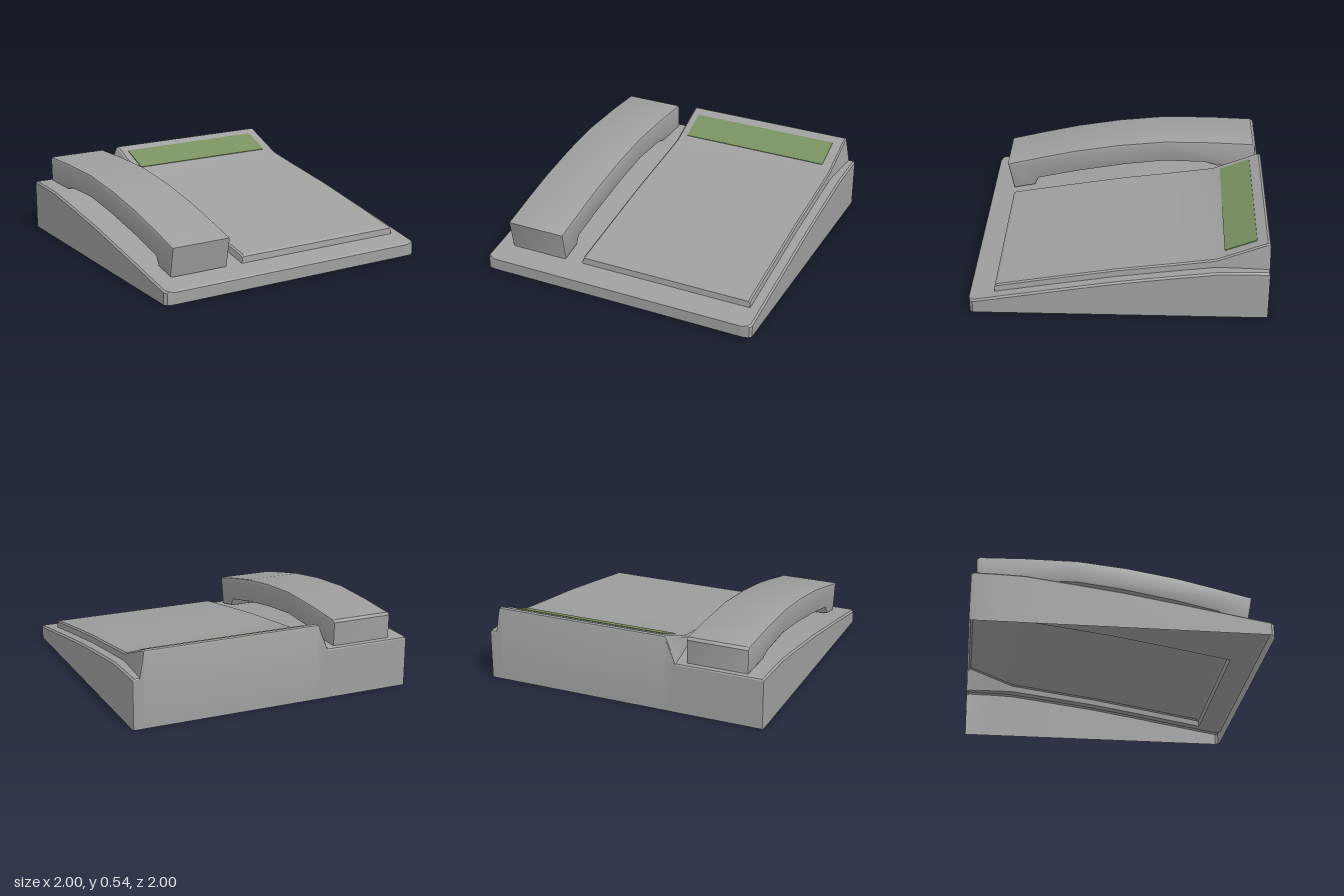
import * as THREE from 'three';
import { toCreasedNormals } from 'three/addons/utils/BufferGeometryUtils.js';

const grey = new THREE.MeshStandardMaterial({ color: 0x9f9f9f, side: THREE.DoubleSide });
grey.name = 'greyPlastic';
const green = new THREE.MeshStandardMaterial({ color: 0x789160 });
green.name = 'greenScreen';

// One cross-section of the housing: skirt, left shelf, raised panel, right strip
function section([z, h, p, w, foot]) {
  const r = Math.min(0.012, h), b = Math.min(0.01, Math.max(p - h, 0));
  return [
    [-w, 0], [-w, h - r], [-w + 0.012, h],
    [-0.33 - foot, h], [-0.322, p - b], [-0.31, p],
    [0.91, p], [0.92, p - b], [0.925 + foot * 0.4, h],
    [w - 0.012, h], [w, h - r], [w, 0],
  ].map(([x, y]) => new THREE.Vector3(x, Math.max(y, 0), z));
}

// Housing: open-bottomed shell lofted from front to back
function housing() {
  // z, shelf height, panel height, half width, panel foot flare
  const rows = [
    [1, 0, 0, 0.95, 0],
    [1, 0.082, 0.082, 0.95, 0],
    [0.99, 0.091, 0.091, 0.985, 0],
    [0.97, 0.095, 0.095, 1, 0],
    [0.83, 0.118, 0.118, 1, 0],
    [0.825, 0.119, 0.16, 1, 0],
    [0.81, 0.122, 0.172, 1, 0],
    [0.4, 0.193, 0.243, 1, 0],
    [0, 0.26, 0.31, 1, 0],
    [-0.35, 0.307, 0.357, 1, 0],
    [-0.65, 0.345, 0.4, 1, 0],
    [-0.8, 0.35, 0.459, 1, 0.03],
    [-0.98, 0.352, 0.53, 1, 0.06],
    [-0.995, 0.347, 0.524, 0.997, 0.06],
    [-1, 0.338, 0.512, 0.995, 0.06],
    [-1, 0, 0, 0.995, 0],
  ].map(section);
  const pos = [];
  for (let i = 0; i < rows.length - 1; i++) {
    for (let j = 0; j < rows[i].length - 1; j++) {
      const a = rows[i][j], b = rows[i][j + 1], c = rows[i + 1][j + 1], d = rows[i + 1][j];
      for (const v of [a, b, c, a, c, d]) pos.push(v.x, v.y, v.z);
    }
  }
  const geo = new THREE.BufferGeometry();
  geo.setAttribute('position', new THREE.Float32BufferAttribute(pos, 3));
  return toCreasedNormals(geo, 0.5);
}

// Handset: arched side profile (z, y) extruded across its width
function handsetGeometry() {
  const outline = [
    [0.88, 0.33], [0.62, 0.393], [0.37, 0.45], [0.04, 0.505], [-0.3, 0.54],
    [-0.65, 0.54], [-0.95, 0.53], [-0.97, 0.515], [-0.965, 0.345],
    [-0.69, 0.345], [-0.6, 0.37], [-0.3, 0.377], [0, 0.34],
    [0.35, 0.278], [0.65, 0.212], [0.68, 0.155], [0.84, 0.122],
  ].map(([z, y]) => new THREE.Vector2(z, y));
  const bevel = 0.014, width = 0.43;
  const geo = new THREE.ExtrudeGeometry(new THREE.Shape(outline), {
    depth: width - 2 * bevel, bevelEnabled: true, bevelSize: bevel,
    bevelThickness: bevel, bevelOffset: -bevel, bevelSegments: 2,
  });
  geo.rotateY(-Math.PI / 2);
  geo.translate(-0.45 - bevel, 0, 0);
  return toCreasedNormals(geo, 0.5);
}

// Screen: thin plate with rounded corners lying on the tilted display panel
function screenGeometry() {
  const w = 0.55, h = 0.113, r = 0.012;
  const s = new THREE.Shape();
  s.moveTo(-w + r, -h);
  s.lineTo(w - r, -h).quadraticCurveTo(w, -h, w, -h + r);
  s.lineTo(w, h - r).quadraticCurveTo(w, h, w - r, h);
  s.lineTo(-w + r, h).quadraticCurveTo(-w, h, -w, h - r);
  s.lineTo(-w, -h + r).quadraticCurveTo(-w, -h, -w + r, -h);
  return new THREE.ExtrudeGeometry(s, { depth: 0.005, bevelEnabled: false });
}

export function createModel() {
  const group = new THREE.Group();
  group.name = 'deskTelephone';
  const add = (name, geo, mat) => {
    const mesh = new THREE.Mesh(geo, mat);
    mesh.name = name;
    group.add(mesh);
    return mesh;
  };
  add('housing', housing(), grey);
  add('handset', handsetGeometry(), grey);
  const screen = add('screen', screenGeometry(), green);
  screen.position.set(0.29, 0.463, -0.81);
  screen.rotation.x = -Math.PI / 2 + Math.atan2(0.13, 0.33);
  return group;
}
